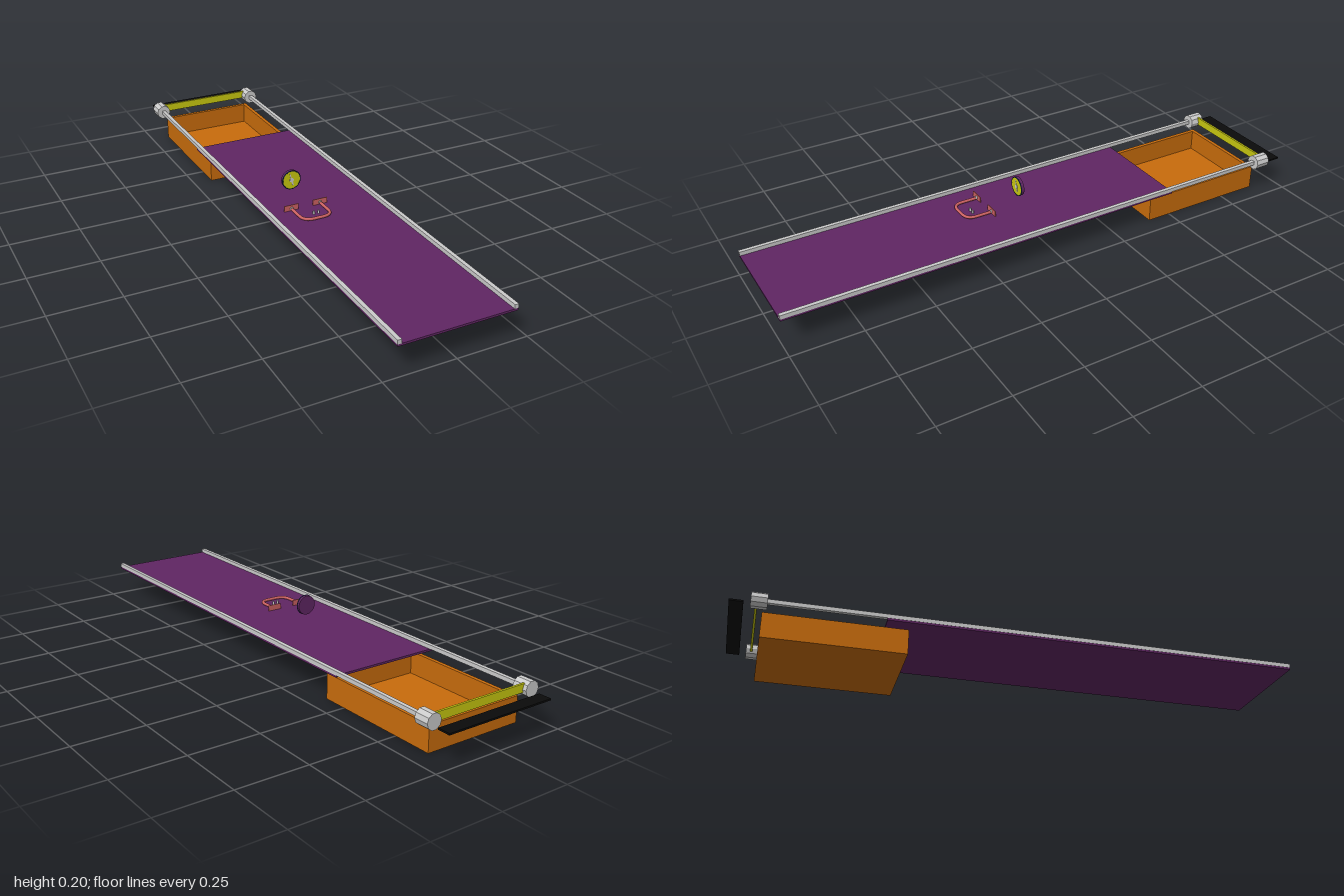
import * as THREE from 'three';

const mat = (color) => new THREE.MeshStandardMaterial({ color });
const grey = mat(0xcccccc), purple = mat(0x602663), orange = mat(0xc86c0c);
const yellow = mat(0xc8c810), pink = mat(0xcd6262), black = mat(0x0b0b0b), navy = mat(0x142a52);
const facetedGrey = mat(0xcccccc);
facetedGrey.flatShading = true;

function add(parent, name, geometry, material, x = 0, y = 0, z = 0) {
  const mesh = new THREE.Mesh(geometry, material);
  mesh.name = name;
  mesh.position.set(x, y, z);
  parent.add(mesh);
  return mesh;
}

// Box given by its minimum and maximum corners
function box(parent, name, material, [x0, y0, z0], [x1, y1, z1]) {
  return add(parent, name, new THREE.BoxGeometry(x1 - x0, y1 - y0, z1 - z0), material,
    (x0 + x1) / 2, (y0 + y1) / 2, (z0 + z1) / 2);
}

// Cylinder lying along z
const zCylinder = (r, length, sides) => new THREE.CylinderGeometry(r, r, length, sides).rotateX(Math.PI / 2);

function createTray() {
  const tray = new THREE.Group();
  tray.name = 'tray';
  const w = 0.181, h = 0.09, back = -0.893, front = -0.41, t = 0.014;
  box(tray, 'trayFloor', orange, [-w, 0, back], [w, 0.012, front]);
  for (const s of [-1, 1]) {
    const a = s * w, b = s * (w - t);
    box(tray, 'traySide', orange, [Math.min(a, b), 0.012, back], [Math.max(a, b), h, front]);
  }
  box(tray, 'trayBack', orange, [-w + t, 0.012, back], [w - t, h, back + t]);
  box(tray, 'trayFront', orange, [-w + t, 0.012, front - t], [w - t, h, front]);
  return tray;
}

function createGauge() {
  const gauge = new THREE.Group();
  gauge.name = 'gauge';
  gauge.position.set(-0.047, 0.16, 0.018);
  add(gauge, 'gaugeBody', zCylinder(0.035, 0.012, 40), purple);
  add(gauge, 'gaugeFace', zCylinder(0.0335, 0.001, 40), yellow, 0, 0, 0.0062);
  add(gauge, 'gaugeRim', new THREE.TorusGeometry(0.0345, 0.002, 8, 40), navy, 0, 0, 0.0055);
  add(gauge, 'needleHub', zCylinder(0.008, 0.002, 20), grey, 0, 0, 0.0075);
  // Tapered needle
  const outline = new THREE.Shape([[-0.003, -0.021], [0.003, -0.021], [0.003, 0], [0.0012, 0.025], [-0.0012, 0.025], [-0.003, 0]]
    .map(([x, y]) => new THREE.Vector2(x, y)));
  const needle = add(gauge, 'needle',
    new THREE.ExtrudeGeometry(outline, { depth: 0.001, bevelEnabled: false }), grey, 0, 0, 0.0068);
  needle.rotation.z = 0.27;
  return gauge;
}

function createHandle() {
  const handle = new THREE.Group();
  handle.name = 'handle';
  handle.position.set(-0.056, 0.119, 0.155);
  // U-shaped grip
  const w = 0.055, p = (x, z) => new THREE.Vector3(x, 0, z);
  const path = new THREE.CurvePath();
  path.add(new THREE.LineCurve3(p(-w, 0), p(-w, 0.058)));
  path.add(new THREE.QuadraticBezierCurve3(p(-w, 0.058), p(-w, 0.096), p(-0.015, 0.096)));
  path.add(new THREE.LineCurve3(p(-0.015, 0.096), p(0.015, 0.096)));
  path.add(new THREE.QuadraticBezierCurve3(p(0.015, 0.096), p(w, 0.096), p(w, 0.058)));
  path.add(new THREE.LineCurve3(p(w, 0.058), p(w, 0)));
  add(handle, 'grip', new THREE.TubeGeometry(path, 60, 0.0055, 10), pink);
  // Mounting plates with bolts, and two studs inside the grip
  for (const s of [-1, 1]) {
    box(handle, 'mountPlate', pink, [s * w - 0.027, -0.006, -0.004], [s * w + 0.027, 0.015, -0.001]);
    add(handle, 'mountBolt', zCylinder(0.006, 0.006, 14), grey, s * w, 0.002, 0.001);
    add(handle, 'stud', new THREE.CylinderGeometry(0.004, 0.004, 0.011, 12), grey, 0.011 + s * 0.009, -0.001, 0.055);
  }
  return handle;
}

export function createModel() {
  const model = new THREE.Group();
  model.name = 'slidingPanel';

  box(model, 'panel', purple, [-0.205, 0.105, -0.487], [0.205, 0.1125, 1]);

  // Rails and the faceted caps at their back ends
  for (const s of [-1, 1]) {
    const x = s * 0.199;
    box(model, 'rail', grey, [x - 0.007, 0.1125, -0.9], [x + 0.007, 0.127, 1]);
    const cap = zCylinder(0.0275, 0.054, 10).rotateZ(Math.PI / 10);
    add(model, 'railCap', cap, facetedGrey, x, 0.12, -0.905);
  }

  box(model, 'crossBar', yellow, [-0.185, 0.11, -0.918], [0.185, 0.139, -0.91]);
  box(model, 'backStrip', black, [-0.206, 0.106, -1], [0.206, 0.112, -0.954]);

  model.add(createTray(), createGauge(), createHandle());
  return model;
}
